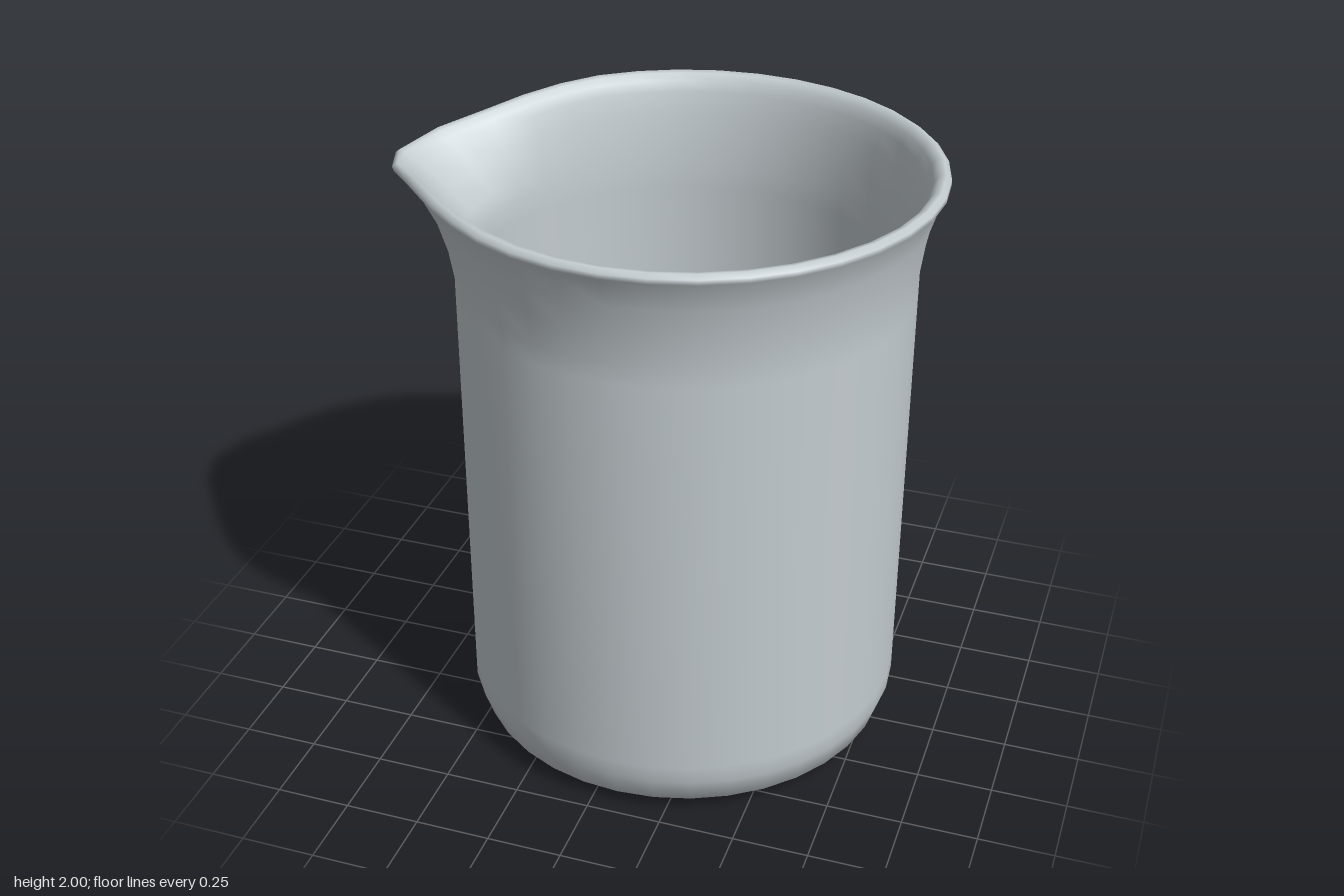
import * as THREE from 'three';
import { mergeVertices } from 'three/addons/utils/BufferGeometryUtils.js';

const AXIS_X = 0.09;
const SEGMENTS = 36;
const FLARE_START = 1.67, RIM_Y = 1.98;

// Spout reach and rim drop, sampled every 10 degrees away from the spout tip
const REACH = [0.18, 0.13, 0.056, 0.02, 0.005, 0];
const DROP = [0.09, 0.068, 0.042, 0.02, 0.007, 0];

function sample(table, degrees) {
  const s = degrees / 10;
  const i = Math.floor(s + 1e-4);
  if (i >= table.length - 1) return 0;
  return THREE.MathUtils.lerp(table[i], table[i + 1], Math.max(0, s - i));
}

// Pulls the flared rim out and down towards -x to make the pouring lip
function shapeSpout(geometry) {
  const p = geometry.attributes.position;
  for (let i = 0; i < p.count; i++) {
    const x = p.getX(i), y = p.getY(i), z = p.getZ(i);
    if (y <= FLARE_START) continue;
    const r = Math.hypot(x, z);
    const degrees = THREE.MathUtils.radToDeg(Math.abs(Math.atan2(z, -x)));
    const t = Math.min(1, (y - FLARE_START) / (RIM_Y - FLARE_START));
    const k = (r + sample(REACH, degrees) * t * t) / r;
    p.setXYZ(i, x * k, y - sample(DROP, degrees) * Math.min(1, 1.4 * t), z * k);
  }
}

export function createModel() {
  const group = new THREE.Group();
  group.name = 'beaker';

  const glass = new THREE.MeshStandardMaterial({ color: 0xc4ccd0 });
  glass.name = 'pale grey glass';

  // Closed wall profile: underside, outer wall, rolled rim, inner wall, floor
  const profile = [
    [0, 0], [0.58, 0], [0.64, 0.005], [0.705, 0.05], [0.735, 0.14], [0.735, 0.2],
    [0.735, 1.6], [0.735, 1.67], [0.748, 1.77], [0.768, 1.87], [0.793, 1.95],
    [0.812, 1.972], [0.811, 1.988], [0.795, 2], [0.775, 1.996], [0.758, 1.975],
    [0.745, 1.94], [0.73, 1.87], [0.717, 1.77], [0.71, 1.67], [0.71, 1.6],
    [0.71, 0.2], [0.71, 0.14], [0.685, 0.07], [0.63, 0.03], [0.57, 0.025], [0, 0.025],
  ].map(([r, y]) => new THREE.Vector2(r, y));

  let geometry = new THREE.LatheGeometry(profile, SEGMENTS);
  shapeSpout(geometry);

  // Weld the seam so the shading is smooth all round
  geometry.deleteAttribute('normal');
  geometry.deleteAttribute('uv');
  geometry = mergeVertices(geometry, 1e-4);
  geometry.computeVertexNormals();

  const vessel = new THREE.Mesh(geometry, glass);
  vessel.name = 'vesselWithSpout';
  vessel.position.x = AXIS_X;
  group.add(vessel);
  return group;
}
